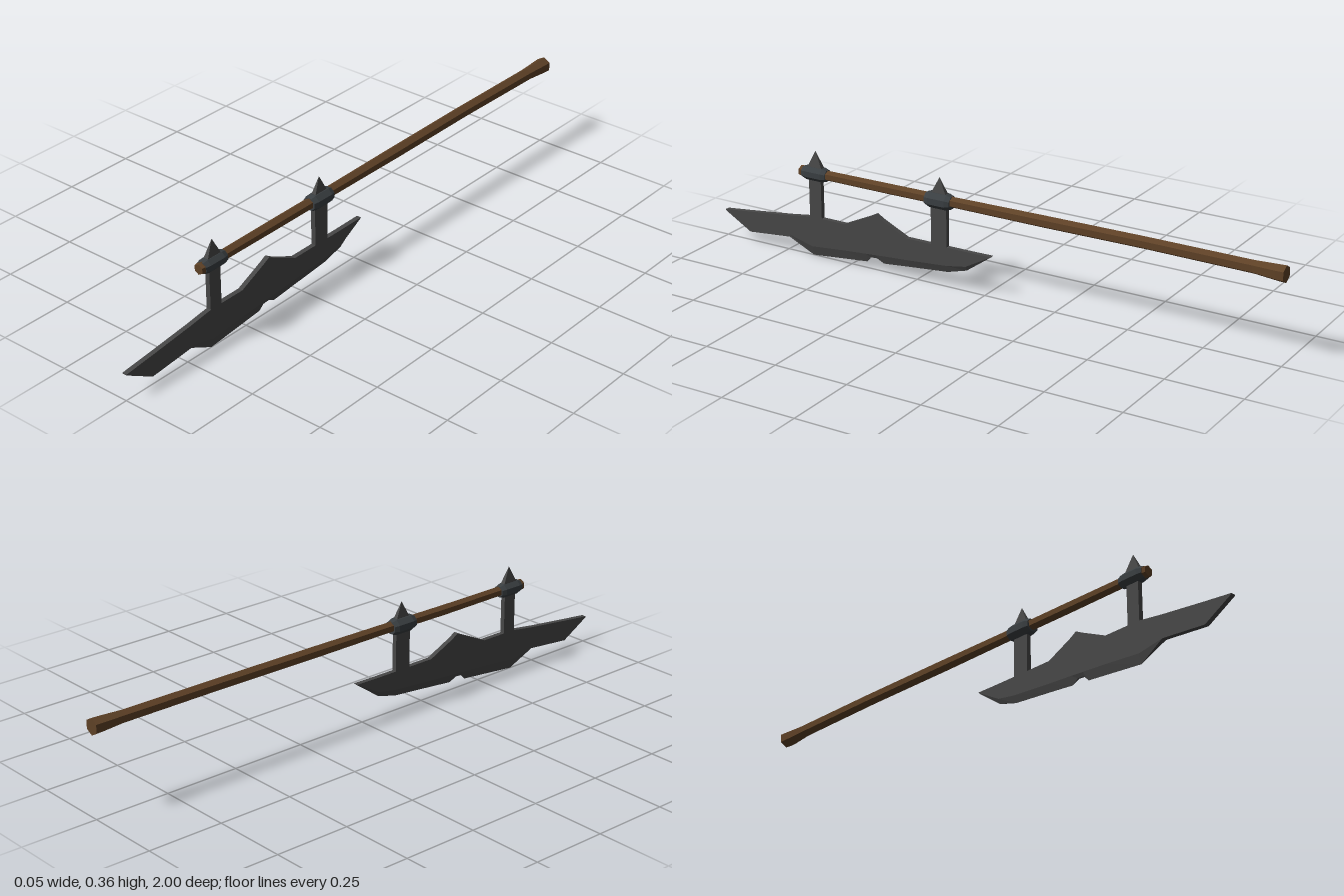
import * as THREE from 'three';

// Skin a list of equal-sized cross-sections (arrays of [x, y, z]) and cap both ends
function loft(sections) {
  const pos = [];
  const n = sections[0].length;
  const tri = (a, b, c) => pos.push(...a, ...b, ...c);
  for (let i = 0; i < sections.length - 1; i++) {
    for (let j = 0; j < n; j++) {
      const k = (j + 1) % n, A = sections[i], B = sections[i + 1];
      tri(A[j], A[k], B[k]);
      tri(A[j], B[k], B[j]);
    }
  }
  const first = sections[0], last = sections[sections.length - 1];
  for (let j = 1; j < n - 1; j++) {
    tri(first[0], first[j + 1], first[j]);
    tri(last[0], last[j], last[j + 1]);
  }
  const g = new THREE.BufferGeometry();
  g.setAttribute('position', new THREE.Float32BufferAttribute(pos, 3));
  g.computeVertexNormals();
  return g;
}

// Regular polygon ring in the xy plane, counter-clockwise seen from +z
function ring(sides, cx, cy, z, rx, ry, turn = 0) {
  return Array.from({ length: sides }, (_, i) => {
    const a = turn + (i / sides) * Math.PI * 2;
    return [cx + rx * Math.cos(a), cy + ry * Math.sin(a), z];
  });
}

export function createModel() {
  const group = new THREE.Group();
  const mat = (name, color) => {
    const m = new THREE.MeshStandardMaterial({ color, flatShading: true });
    m.name = name;
    return m;
  };
  const wood = mat('brown wood', 0x5e4126);
  const steel = mat('dark steel', 0x474747);
  const iron = mat('collar iron', 0x3a3f42);
  const add = (name, geometry, material, parent = group) => {
    const mesh = new THREE.Mesh(geometry, material);
    mesh.name = name;
    parent.add(mesh);
    return mesh;
  };

  // Slightly crooked six-sided shaft: z, centre x, centre y, radius
  const shaft = [
    [-1, 0, 0.293, 0.027], [-0.975, 0, 0.293, 0.026], [-0.9, -0.001, 0.294, 0.021],
    [-0.55, -0.002, 0.295, 0.02], [-0.2, -0.001, 0.293, 0.02], [0.1, 0, 0.292, 0.018],
    [0.35, -0.001, 0.29, 0.018], [0.58, 0, 0.29, 0.017], [0.665, 0, 0.289, 0.018],
    [0.68, 0, 0.289, 0.02], [0.69, 0, 0.289, 0.017],
  ];
  add('shaft', loft(shaft.map(([z, x, y, r]) => ring(6, x, y, z, r, r, Math.PI / 6))), wood);

  // Blade columns: z, top, bevel line, bottom, half width of the bottom edge
  const h = 0.008;
  const blade = [
    [-0.025, 0.141, 0.14, 0.139, 0.001],
    [0.065, 0.14, 0.09, 0.075, 0.001],
    [0.135, 0.14, 0.078, 0.055, 0],
    [0.285, 0.14, 0.066, 0.041, 0],
    [0.375, 0.182, 0.06, 0.032, 0],
    [0.40, 0.197, 0.058, 0.046, 0.003],
    [0.425, 0.184, 0.056, 0.044, 0.003],
    [0.44, 0.177, 0.055, 0.026, 0],
    [0.52, 0.14, 0.049, 0.018, 0],
    [0.65, 0.14, 0.037, 0.005, 0],
    [0.74, 0.127, 0.06, 0.052, h],
    [0.90, 0.108, 0.045, 0.037, h],
    [1.0, 0.097, 0.096, 0.094, h],
  ];
  add('blade', loft(blade.map(([z, top, bevel, bottom, w]) => [
    [h, top, z], [-h, top, z], [-h, bevel, z], [-w, bottom, z], [w, bottom, z], [h, bevel, z],
  ])), steel);

  // Two mounts: post, chamfered collar around the shaft, flat spike on top
  for (const [name, z, width, r] of [['frontMount', 0.632, 0.046, 0.024], ['rearMount', 0.163, 0.057, 0.027]]) {
    const mount = new THREE.Group();
    mount.name = name;
    mount.position.z = z;
    group.add(mount);

    add('post', new THREE.BoxGeometry(2 * h, 0.15, width), steel, mount).position.y = 0.205;

    const profile = [[-0.046, r * 0.8], [-0.03, r], [0.03, r], [0.046, r * 0.8]];
    add('collar', loft(profile.map(([dz, rad]) =>
      ring(8, 0, 0.289, dz, rad * 1.06, rad * 1.0, Math.PI / 8))), iron, mount);

    const spike = new THREE.ConeGeometry(Math.SQRT2, 0.065, 4, 1);
    spike.rotateY(Math.PI / 4);
    spike.scale(0.01, 1, 0.032);
    add('spike', spike, steel, mount).position.y = 0.3325;
  }

  return group;
}
